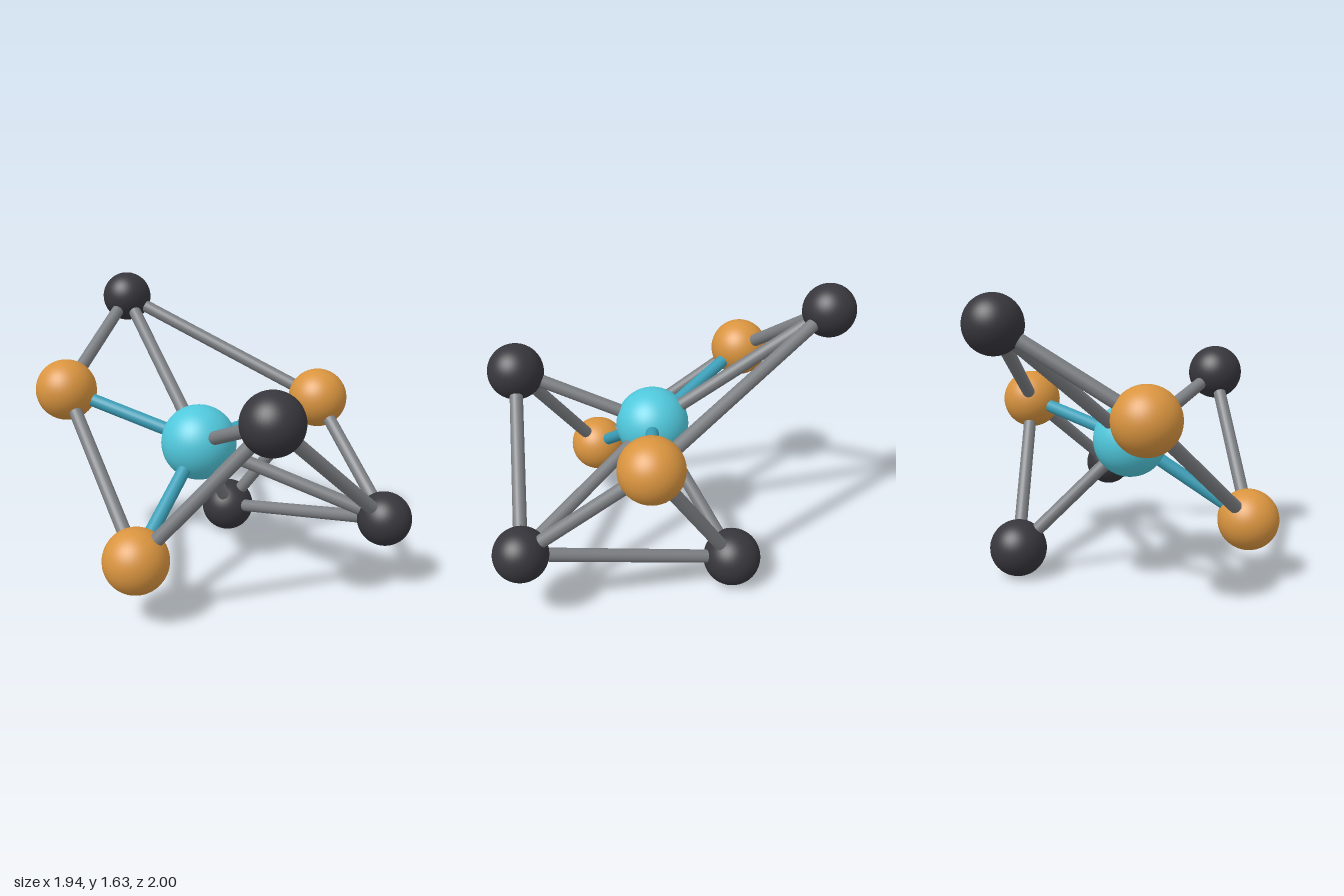
import * as THREE from 'three';

const mat = (name, color) => {
  const m = new THREE.MeshStandardMaterial({ color });
  m.name = name;
  return m;
};

export function createModel() {
  const group = new THREE.Group();
  const cyan = mat('cyan', 0x50c8dc);
  const teal = mat('teal', 0x3a9fb8);
  const orange = mat('orange', 0xd9943f);
  const charcoal = mat('charcoal', 0x36363c);
  const grey = mat('grey', 0x7c7f83);

  // Nodes: position, radius, material
  const nodes = {
    hub: [[-0.115, 0.79, 0.08], 0.21, cyan],
    upperRightBall: [[-0.805, 1.04, -0.29], 0.172, orange],
    leftBall: [[0.66, 0.94, -0.14], 0.172, orange],
    lowerRightBall: [[-0.555, 0.355, 0.585], 0.172, orange],
    topBackBall: [[-0.367, 1.48, -0.853], 0.147, charcoal],
    frontBall: [[0.07, 1.105, 0.835], 0.16, charcoal],
    lowerLeftBall: [[0.82, 0.42, 0.525], 0.148, charcoal],
    bottomBackBall: [[0.197, 0.163, -0.478], 0.162, charcoal],
  };
  for (const [name, [p, r, m]] of Object.entries(nodes)) {
    const ball = new THREE.Mesh(new THREE.SphereGeometry(r, 40, 28), m);
    ball.name = name;
    ball.position.set(...p);
    group.add(ball);
  }

  // Rods run between node centres
  const rod = (a, b, m) => {
    const from = new THREE.Vector3(...nodes[a][0]);
    const to = new THREE.Vector3(...nodes[b][0]);
    const dir = to.clone().sub(from);
    const mesh = new THREE.Mesh(new THREE.CylinderGeometry(0.037, 0.037, dir.length(), 20), m);
    mesh.name = `rod ${a} to ${b}`;
    mesh.position.copy(from).add(to).multiplyScalar(0.5);
    mesh.quaternion.setFromUnitVectors(new THREE.Vector3(0, 1, 0), dir.normalize());
    group.add(mesh);
  };

  // Coloured spokes from the hub
  for (const b of ['upperRightBall', 'leftBall', 'lowerRightBall']) rod('hub', b, teal);

  // Grey spokes from the hub
  for (const b of ['topBackBall', 'frontBall', 'lowerLeftBall', 'bottomBackBall']) rod('hub', b, grey);

  // Outer struts
  const struts = [
    ['topBackBall', 'upperRightBall'],
    ['topBackBall', 'leftBall'],
    ['upperRightBall', 'lowerRightBall'],
    ['lowerRightBall', 'frontBall'],
    ['frontBall', 'lowerLeftBall'],
    ['lowerLeftBall', 'leftBall'],
    ['lowerLeftBall', 'bottomBackBall'],
    ['leftBall', 'bottomBackBall'],
  ];
  for (const [a, b] of struts) rod(a, b, grey);

  return group;
}
